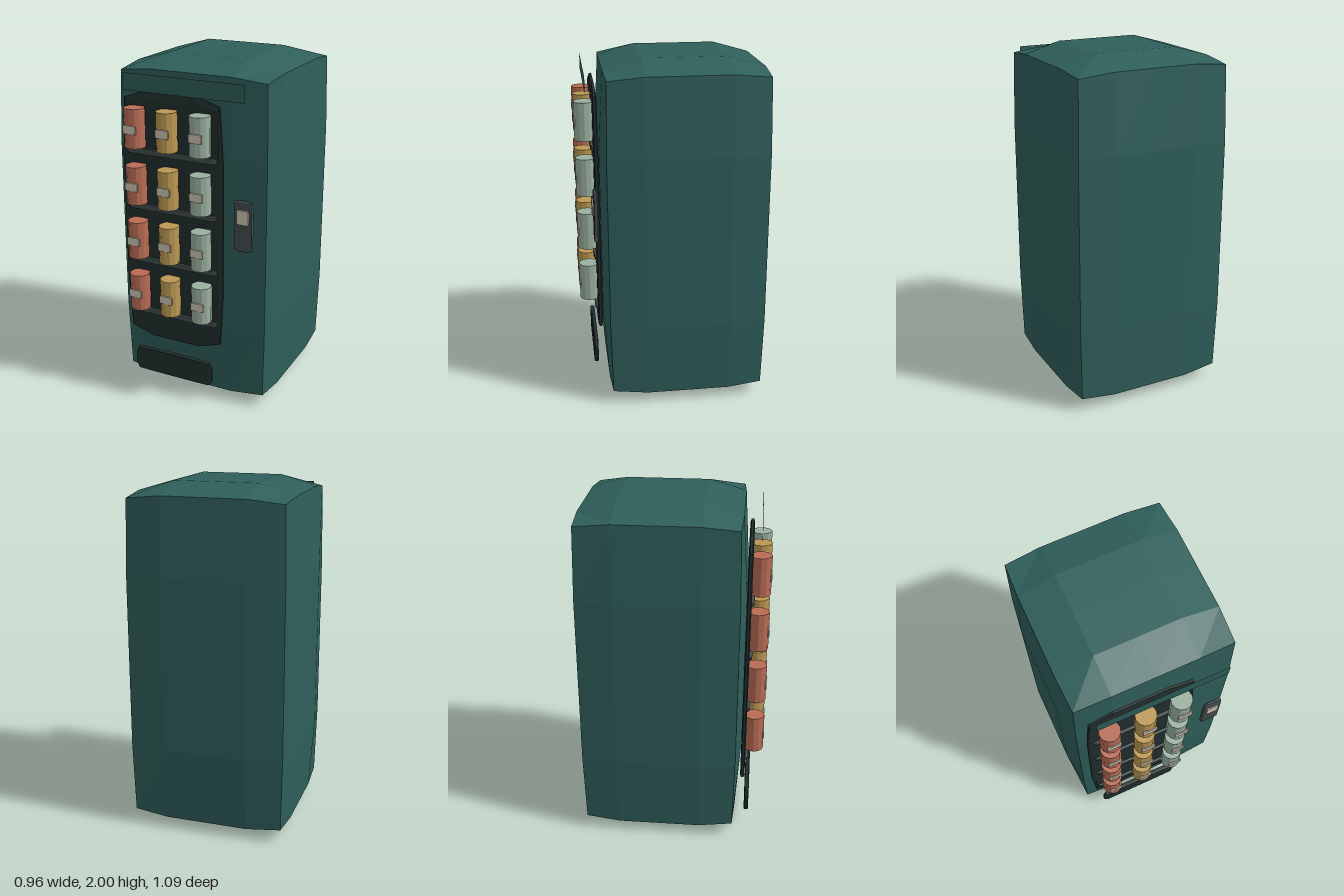
import * as THREE from 'three';

const mat = (name, color, extra = {}) => {
  const m = new THREE.MeshStandardMaterial({ color, flatShading: true, ...extra });
  m.name = name;
  return m;
};

// Box whose faces swell outward: edges and corners are pulled in
function swollenBox(w, h, d) {
  const geo = new THREE.BoxGeometry(2, 2, 2, 4, 4, 4);
  const p = geo.attributes.position;
  const pull = [1, 1, 0.94, 0.92];
  for (let i = 0; i < p.count; i++) {
    const v = [p.getX(i), p.getY(i), p.getZ(i)];
    const k = pull[v.filter((c) => Math.abs(c) > 0.99).length];
    const [x, y, z] = v.map((c) => (Math.abs(c) > 0.99 ? c * k : c));
    p.setXYZ(i, x * w / 2, y * h / 2, z * d / 2);
  }
  geo.computeVertexNormals();
  return geo;
}

export function createModel() {
  const group = new THREE.Group();
  group.name = 'vendingMachine';

  const teal = mat('teal', 0x2f5f5b, { side: THREE.DoubleSide });
  const dark = mat('darkPanel', 0x222e2e);
  const grey = mat('greyTrim', 0x434f4f);
  const cream = mat('cream', 0xd2c9b5);
  const red = mat('redCan', 0xb96c55);
  const gold = mat('goldCan', 0xbc9852);
  const mint = mat('mintCan', 0x9ab09f);

  const add = (name, geo, material, x, y, z, parent = group) => {
    const mesh = new THREE.Mesh(geo, material);
    mesh.name = name;
    mesh.position.set(x, y, z);
    parent.add(mesh);
    return mesh;
  };

  // Cabinet and the thin sign plate at its top
  add('cabinet', swollenBox(0.96, 2, 0.955), teal, 0, 1, -0.065);
  add('signPlate', new THREE.PlaneGeometry(0.725, 0.096), teal, -0.003, 1.883, 0.483);

  // Display window and dispensing tray
  add('displayWindow', swollenBox(0.62, 1.49, 0.028), dark, -0.098, 1.085, 0.427);
  add('dispensingTray', swollenBox(0.508, 0.154, 0.028), dark, -0.1, 0.187, 0.456);

  // Keypad with its small screen
  add('keypad', swollenBox(0.11, 0.296, 0.022), grey, 0.345, 1.152, 0.447);
  add('keypadScreen', swollenBox(0.072, 0.086, 0.009), cream, 0.345, 1.205, 0.462);

  // Four shelves, each with three labelled cans
  const canGeo = new THREE.CylinderGeometry(0.058, 0.058, 0.22, 12);
  const labelGeo = swollenBox(0.082, 0.05, 0.009);
  const shelfGeo = swollenBox(0.562, 0.032, 0.03);
  for (let row = 0; row < 4; row++) {
    const y = 0.656 + row * 0.3265;
    const shelf = new THREE.Group();
    shelf.name = 'shelfRow' + (row + 1);
    group.add(shelf);
    add('shelf', shelfGeo, grey, -0.097, y - 0.146, 0.441, shelf);
    [red, gold, mint].forEach((m, col) => {
      const x = -0.298 + col * 0.201;
      add('can', canGeo, m, x, y, 0.483, shelf);
      add('canLabel', labelGeo, cream, x, y - 0.004, 0.539, shelf);
    });
  }
  return group;
}
